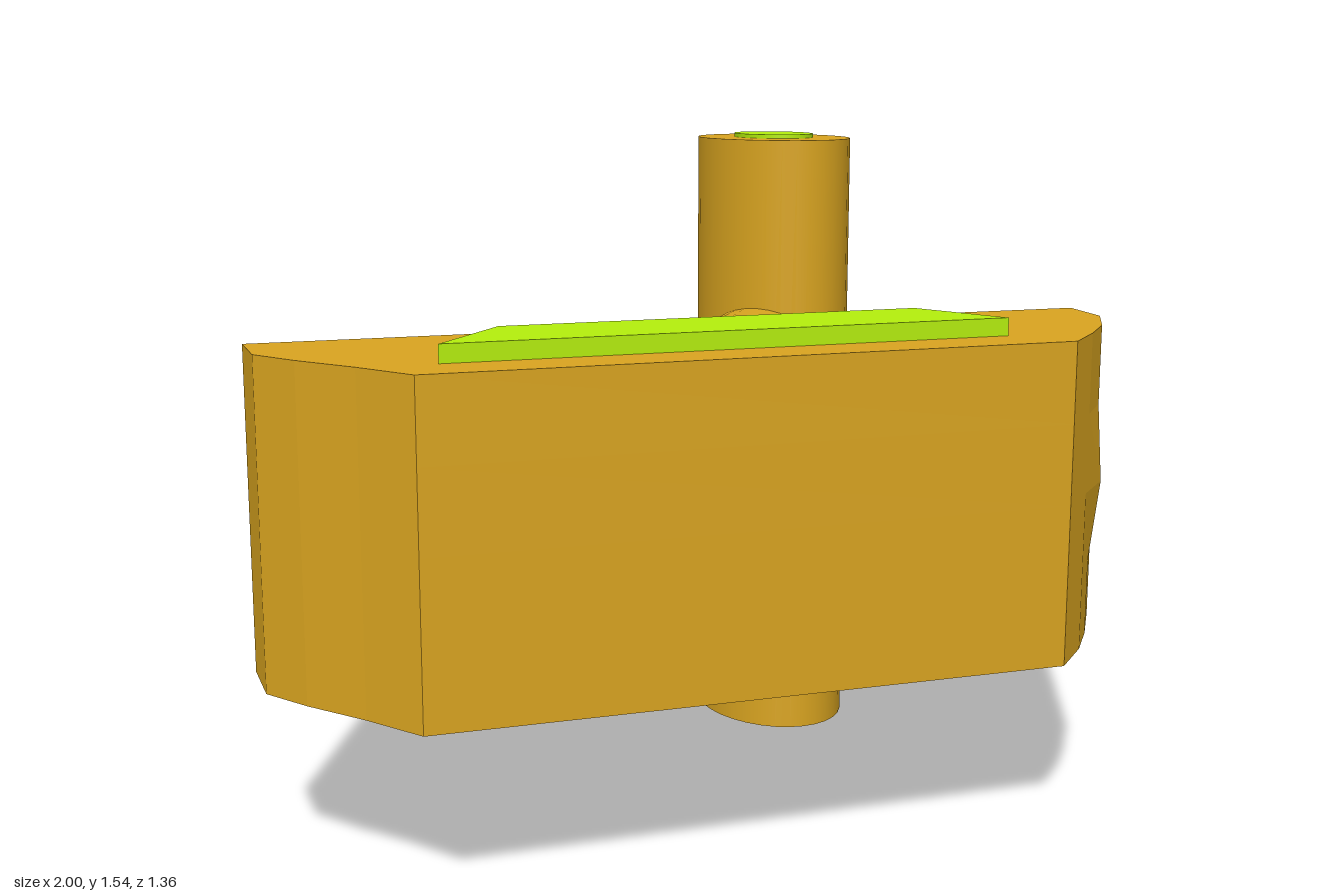
import * as THREE from 'three';

const gold = new THREE.MeshStandardMaterial({ color: 0xdaa520 });
const green = new THREE.MeshStandardMaterial({ color: 0xb5f00d });

// Prism from an [x, z] outline, standing between two heights
function prism(outline, y0, y1, steps = 1) {
  const shape = new THREE.Shape(outline.map(([x, z]) => new THREE.Vector2(x, -z)));
  const geo = new THREE.ExtrudeGeometry(shape, { depth: y1 - y0, steps, bevelEnabled: false });
  return geo.rotateX(-Math.PI / 2).translate(0, y0, 0);
}

// Upright elliptical cylinder between two heights
function oval(rx, rz, y0, y1) {
  return new THREE.CylinderGeometry(1, 1, y1 - y0, 32).scale(rx, 1, rz).translate(0, (y0 + y1) / 2, 0);
}

export function createModel() {
  const model = new THREE.Group();
  const add = (name, geo, mat, x = 0, z = 0) => {
    const mesh = new THREE.Mesh(geo, mat);
    mesh.name = name;
    mesh.position.set(x, 0, z);
    model.add(mesh);
    return mesh;
  };

  // Head block with a V notch at the back and chamfered front corners
  const head = prism([
    [-1, 0.135], [-1, 0.3], [-0.93, 0.41], [-0.83, 0.54], [-0.74, 0.675],
    [0.71, 0.675], [0.81, 0.57], [0.9, 0.46], [0.985, 0.31], [1, 0.15],
    [0.35, 0.14], [-0.03, 0.285], [-0.38, 0.14],
  ], 0.4, 1.13, 4);

  // Shallow dents on the left striking face
  const p = head.attributes.position;
  for (let i = 0; i < p.count; i++) {
    const x = p.getX(i), y = p.getY(i), z = p.getZ(i);
    if (x < 0.85 || z < 0.4) continue;
    if (y > 0.7 && y < 0.8) p.setX(i, x + 0.015);
    if (y < 0.6) p.setX(i, x - 0.01);
  }
  head.computeVertexNormals();
  add('head', head, gold);

  // Green inlay showing above and below the head
  add('headInlay', prism([[-0.665, 0.55], [0.61, 0.55], [0.49, 0.325], [-0.485, 0.325]], 0.37, 1.17), green);

  // Upright post with a green core
  add('post', oval(0.185, 0.255, 0.01, 1.53), gold, 0.445, -0.43);
  add('postCore', oval(0.096, 0.131, 0, 1.54), green, 0.445, -0.43);

  // Two slanting rods joining post and head
  const from = new THREE.Vector2(0.45, -0.42), to = new THREE.Vector2(-0.08, 0.37);
  const length = from.distanceTo(to);
  const angle = Math.atan2(to.x - from.x, to.y - from.y);
  [0.55, 0.995].forEach((y, i) => {
    const rod = new THREE.CylinderGeometry(1, 1, length, 32).scale(0.159, 1, 0.115);
    rod.rotateX(Math.PI / 2).rotateY(angle);
    const mesh = add(i ? 'upperRod' : 'lowerRod', rod, gold, (from.x + to.x) / 2, (from.y + to.y) / 2);
    mesh.position.y = y;
  });

  return model;
}
